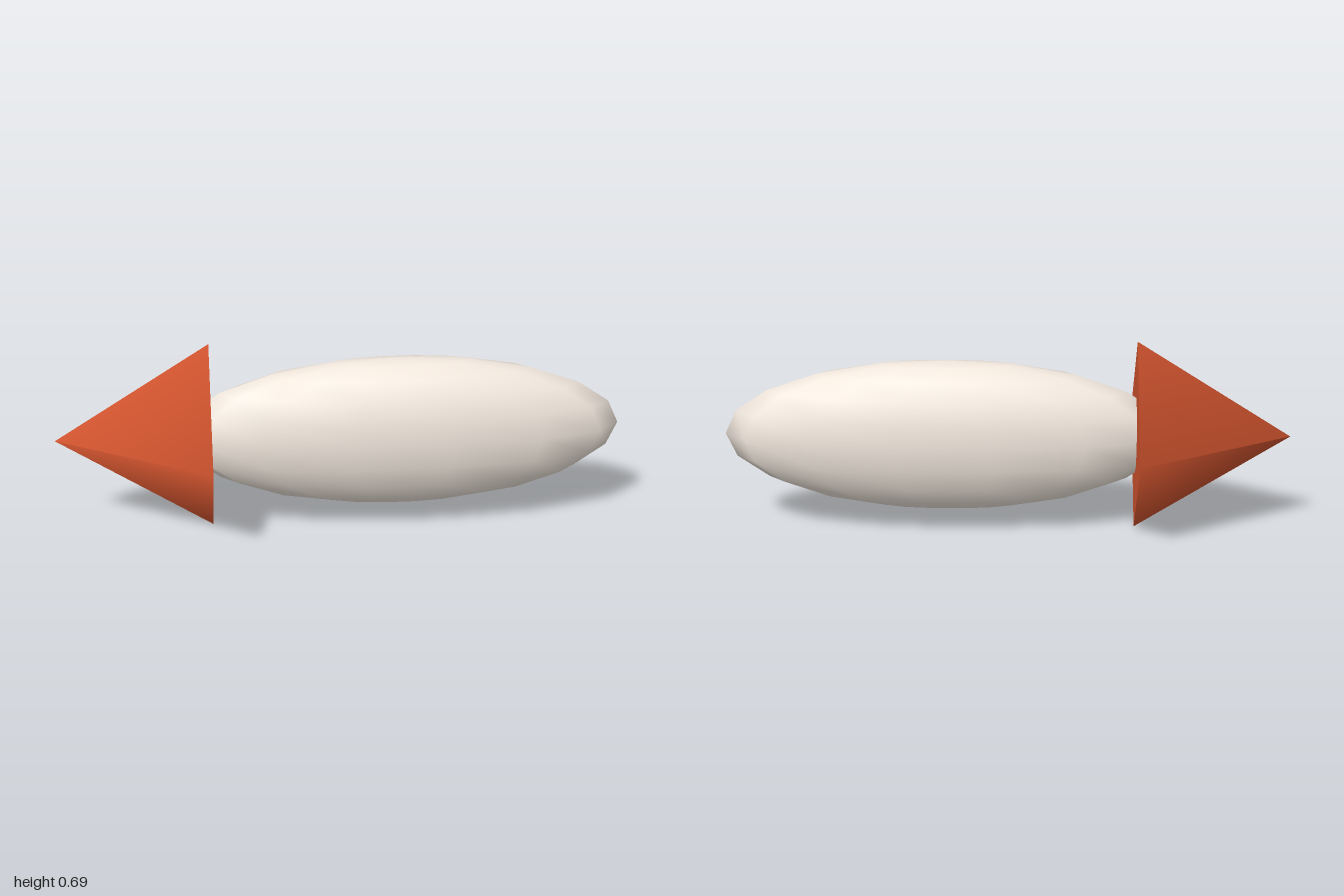
import * as THREE from 'three';

const AXIS_Y = 0.345; // height of the shared long axis

function addPart(group, name, geometry, color, x) {
  const mesh = new THREE.Mesh(geometry, new THREE.MeshStandardMaterial({ color }));
  mesh.name = name;
  mesh.position.set(x, AXIS_Y, 0);
  group.add(mesh);
  return mesh;
}

export function createModel() {
  const group = new THREE.Group();
  group.name = 'fish';

  // Body: coarse, smooth-shaded ellipsoid, flattened sideways
  const body = new THREE.SphereGeometry(1, 14, 10);
  body.scale(0.785, 0.273, 0.172);
  addPart(group, 'body', body, 0xf0e6dc, 0.212);

  // Tail: four-sided cone, its point at -x and its corners up, down, front and back
  const tail = new THREE.ConeGeometry(0.345, 0.545, 4);
  tail.rotateZ(Math.PI / 2);
  addPart(group, 'tail', tail, 0xd4552f, -0.7275);

  return group;
}
